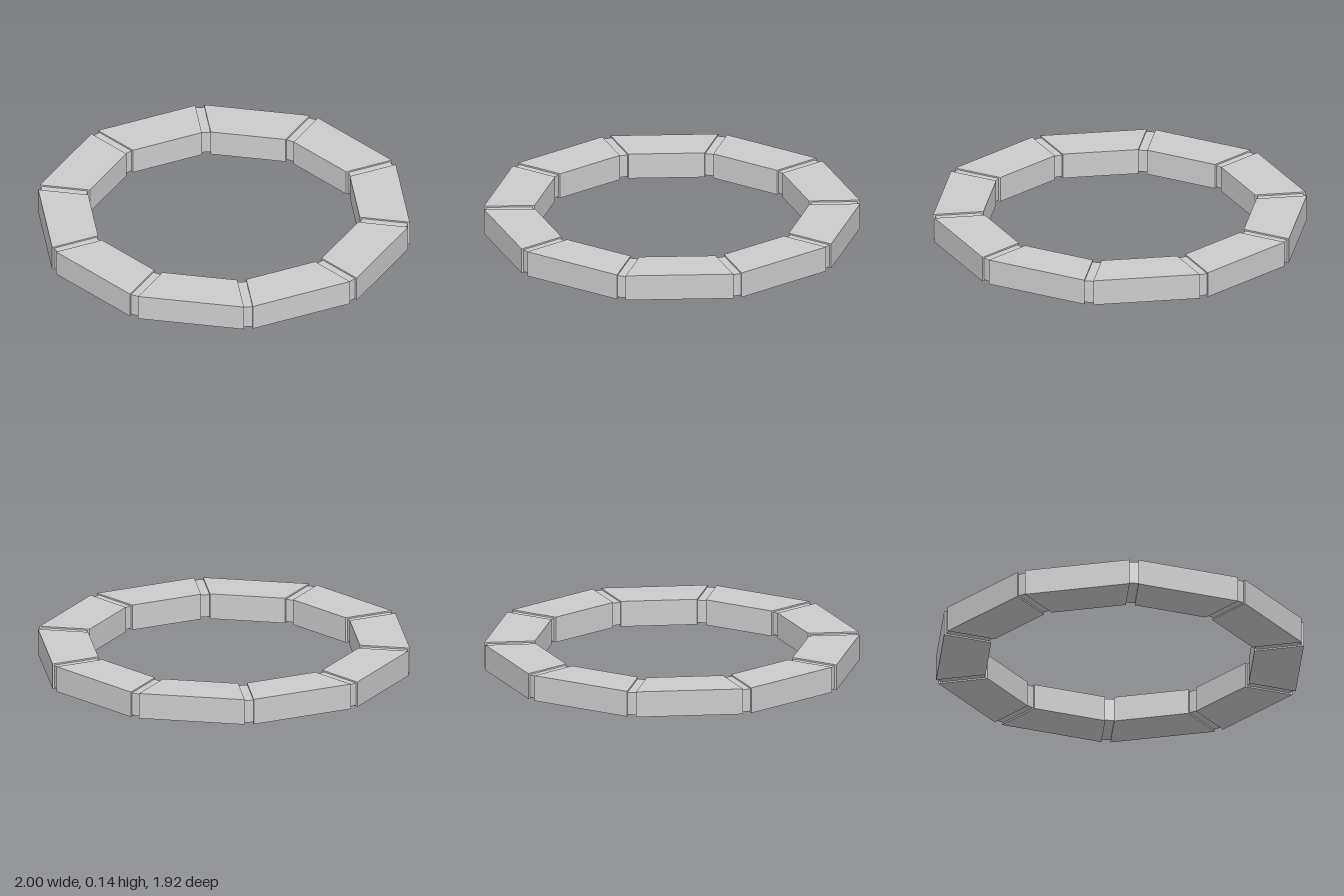
import * as THREE from 'three';

const SIDES = 10;
const HALF = Math.PI / SIDES;
const OUTER = 0.959, INNER = 0.702; // apothems of the ring
const HEIGHT = 0.14, HALF_GAP = 0.024;

export function createModel() {
  const group = new THREE.Group();
  group.name = 'segmentedRing';
  const material = new THREE.MeshStandardMaterial({ color: 0xcccccc, flatShading: true });

  // Mitred block with end faces parallel to the gap centre lines
  const halfWidth = (r) => r * Math.tan(HALF) - HALF_GAP / Math.cos(HALF);
  const wo = halfWidth(OUTER), wi = halfWidth(INNER);
  const outline = new THREE.Shape([
    new THREE.Vector2(-wi, INNER),
    new THREE.Vector2(wi, INNER),
    new THREE.Vector2(wo, OUTER),
    new THREE.Vector2(-wo, OUTER),
  ]);
  const blockGeometry = new THREE.ExtrudeGeometry(outline, { depth: HEIGHT, bevelEnabled: false });
  blockGeometry.rotateX(Math.PI / 2).translate(0, HEIGHT, 0);

  // Slightly recessed spacer filling each gap
  const inset = 0.008, r0 = 0.741, r1 = 0.989;
  const jointGeometry = new THREE.BoxGeometry(r1 - r0, HEIGHT - 2 * inset, 2 * HALF_GAP);
  jointGeometry.translate((r0 + r1) / 2, HEIGHT / 2, 0);

  for (let i = 0; i < SIDES; i++) {
    const block = new THREE.Mesh(blockGeometry, material);
    block.name = `ringBlock${i + 1}`;
    block.rotation.y = i * 2 * HALF;

    const joint = new THREE.Mesh(jointGeometry, material);
    joint.name = `joint${i + 1}`;
    joint.rotation.y = i * 2 * HALF;

    group.add(block, joint);
  }
  return group;
}
